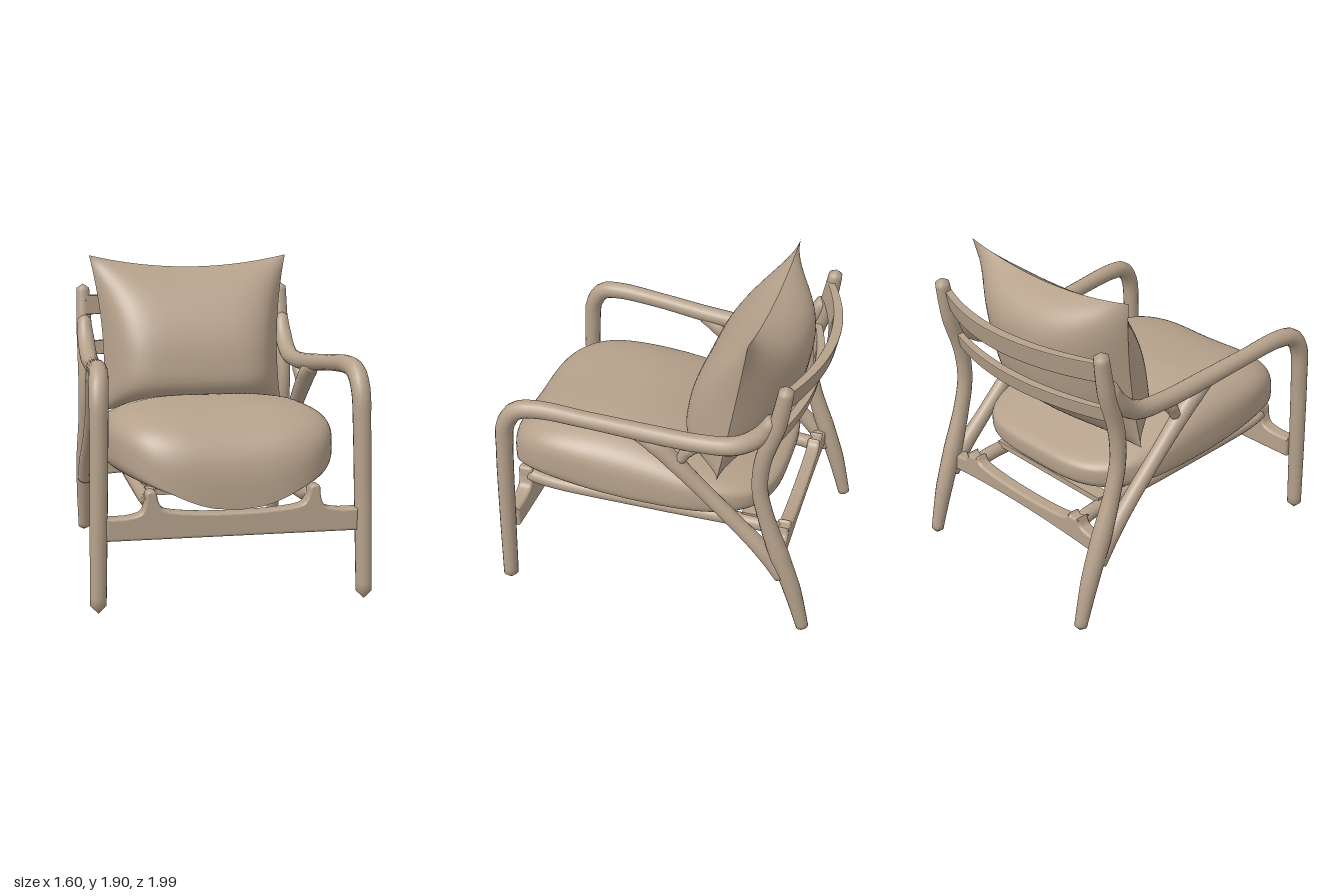
import * as THREE from 'three';
import { mergeVertices } from 'three/addons/utils/BufferGeometryUtils.js';

const material = new THREE.MeshStandardMaterial({ color: 0xb5a18b });
material.name = 'warm beige';

const { smoothstep, lerp } = THREE.MathUtils;

function add(parent, name, geometry) {
  const mesh = new THREE.Mesh(geometry, material);
  mesh.name = name;
  parent.add(mesh);
  return mesh;
}

// Drops uv and normals so that coincident vertices weld into one smooth skin
function weld(geometry) {
  geometry.deleteAttribute('uv');
  geometry.deleteAttribute('normal');
  const g = mergeVertices(geometry, 1e-4);
  g.computeVertexNormals();
  return g;
}

// Round bar through points [x, y, z, radius], closed at both ends
function bar(points, steps = 64, sides = 16) {
  const curve = new THREE.CatmullRomCurve3(points.map(([x, y, z]) => new THREE.Vector3(x, y, z)));
  const g = new THREE.TubeGeometry(curve, steps, 1, sides);
  const p = g.attributes.position;
  const v = new THREE.Vector3();
  for (let i = 0; i <= steps; i++) {
    const centre = curve.getPointAt(i / steps);
    const t = curve.getUtoTmapping(i / steps) * (points.length - 1);
    const k = Math.min(Math.floor(t), points.length - 2);
    const closed = i === 0 || i === steps;
    const r = closed ? 0 : lerp(points[k][3], points[k + 1][3], t - k);
    for (let j = 0; j <= sides; j++) {
      const n = i * (sides + 1) + j;
      v.fromBufferAttribute(p, n).sub(centre).multiplyScalar(r).add(centre);
      p.setXYZ(n, v.x, v.y, v.z);
    }
  }
  return weld(g);
}

// Skin over a grid of points fn(u, v), with u and v from 0 to 1
function skin(nu, nv, fn) {
  const pos = [], idx = [];
  for (let j = 0; j <= nv; j++) for (let i = 0; i <= nu; i++) pos.push(...fn(i / nu, j / nv));
  for (let j = 0; j < nv; j++) for (let i = 0; i < nu; i++) {
    const a = j * (nu + 1) + i, b = a + 1, c = a + nu + 1, d = c + 1;
    idx.push(a, b, d, a, d, c);
  }
  const g = new THREE.BufferGeometry();
  g.setAttribute('position', new THREE.Float32BufferAttribute(pos, 3));
  g.setIndex(idx);
  return weld(g);
}

// Seat cushion: rounded plan, with a seam that sags over the front edge
function seatCushion() {
  const power = (c, e) => Math.sign(c) * Math.abs(c) ** e;
  return skin(96, 48, (u, v) => {
    const a = u * Math.PI * 2;
    const ox = 0.655 * power(Math.cos(a), 2 / 3.5);
    const oz = 0.15 + 0.85 * power(Math.sin(a), 2 / 3.5);
    const r = Math.sin(v * Math.PI);
    const x = ox * r, z = 0.15 + (oz - 0.15) * r;
    const sag = 0.57 + 0.33 * (ox / 0.655) ** 2;
    const seam = lerp(0.79, sag, smoothstep(oz, 0.1, 0.9));
    const crown = 1.1 - 0.2 * (1 - smoothstep(z, -0.7, 0.3));
    const base = 0.63 + 0.02 * z;
    const swell = Math.max(0, 1 - r ** 3.3) ** (1 / 3.3);
    return [x, seam + ((v < 0.5 ? crown : base) - seam) * swell, z];
  });
}

// One face of the back pillow: side 1 is the front, -1 the rear
function pillowFace(side) {
  return skin(48, 40, (a, b) => {
    const u = Math.sin((a - 0.5) * Math.PI) * side;
    const v = Math.sin((b - 0.5) * Math.PI);
    const half = 0.615 + 0.03 * v - 0.04 * (1 - v * v);
    const y = 1.415 + 0.485 * v - 0.075 * (1 - u * u) * Math.max(v, 0) ** 3;
    const seam = -0.465 - 0.085 * v;
    const w = v > -0.3 ? ((v + 0.3) / 1.3) ** 2 : ((v + 0.3) / 0.7) ** 4;
    const depth = side > 0
      ? 0.31 * (1 - w) * (1 - u ** 6)
      : 0.29 * (1 - Math.abs(v) ** 3) * (1 - Math.abs(u) ** 2.5);
    return [half * u, y, seam + side * depth];
  });
}

// Curved back slat, bowed rearwards and leaning back
function backSlat(y, height, end, middle, thick) {
  const s = new THREE.Shape();
  const w = 0.655;
  s.moveTo(-w, end);
  s.quadraticCurveTo(0, 2 * middle - end, w, end);
  s.lineTo(w, end - thick * 0.8);
  s.quadraticCurveTo(0, 2 * (middle - thick) - (end - thick * 0.8), -w, end - thick * 0.8);
  const g = new THREE.ExtrudeGeometry(s, {
    depth: height - 0.016, curveSegments: 28, bevelThickness: 0.008, bevelSize: 0.006, bevelOffset: -0.006, bevelSegments: 2
  });
  g.rotateX(-Math.PI / 2).translate(0, y + 0.008, 0);
  const p = g.attributes.position;
  for (let i = 0; i < p.count; i++) p.setZ(i, p.getZ(i) + (y + height - p.getY(i)) * 0.2);
  g.computeVertexNormals();
  return g;
}

// Cross rail with raised horns where the seat rails join
function crossRail(width, bottom, arch, horn, depth) {
  const half = [[width, 0.53], [0.6, 0.53], [0.52, 0.55], [0.495, 0.6], [0.485, horn], [0.435, horn],
    [0.415, 0.6], [0.37, 0.56], [0.2, 0.54], [0, 0.535]];
  const top = [...half, ...half.slice(0, -1).reverse().map(([x, y]) => [-x, y])];
  const s = new THREE.Shape();
  s.moveTo(-width, bottom);
  s.quadraticCurveTo(0, bottom + 2 * arch, width, bottom);
  s.lineTo(...top[0]);
  s.splineThru(top.slice(1).map(([x, y]) => new THREE.Vector2(x, y)));
  return new THREE.ExtrudeGeometry(s, {
    depth: depth - 0.04, curveSegments: 40, bevelThickness: 0.02, bevelSize: 0.015, bevelOffset: -0.015, bevelSegments: 4
  }).translate(0, 0, -depth / 2 + 0.02);
}

export function createModel() {
  const chair = new THREE.Group();
  chair.name = 'armchair';

  // Bent side frames, mirrored
  for (const s of [1, -1]) {
    const frame = new THREE.Group();
    frame.name = s > 0 ? 'leftFrame' : 'rightFrame';
    chair.add(frame);
    const sided = (points) => bar(points.map(([x, y, z, r]) => [x * s, y, z, r]));

    add(frame, 'frontLegAndArm', sided([
      [0.755, 0, 0.895, 0.045], [0.745, 0.5, 0.88, 0.049], [0.735, 1.0, 0.86, 0.051], [0.732, 1.18, 0.84, 0.054],
      [0.725, 1.28, 0.77, 0.055], [0.715, 1.305, 0.65, 0.053], [0.7, 1.285, 0.35, 0.049], [0.675, 1.25, 0, 0.053],
      [0.663, 1.235, -0.3, 0.053], [0.662, 1.26, -0.5, 0.055], [0.665, 1.36, -0.64, 0.055], [0.668, 1.52, -0.73, 0.04]]));

    add(frame, 'backPostAndLeg', sided([
      [0.668, 1.71, -0.775, 0.022], [0.668, 1.68, -0.772, 0.042], [0.668, 1.45, -0.735, 0.05], [0.67, 1.2, -0.665, 0.048],
      [0.67, 1.0, -0.655, 0.046], [0.67, 0.8, -0.7, 0.048], [0.67, 0.55, -0.785, 0.058], [0.67, 0.3, -0.875, 0.052],
      [0.67, 0, -0.958, 0.036]]));

    add(frame, 'diagonalBrace', sided([
      [0.675, 1.24, 0.08, 0.035], [0.67, 1.18, -0.04, 0.055], [0.665, 1.08, -0.15, 0.052], [0.66, 0.93, -0.3, 0.046],
      [0.66, 0.7, -0.54, 0.046], [0.665, 0.54, -0.7, 0.052], [0.67, 0.38, -0.82, 0.05]]));

    add(frame, 'armFillet', sided([
      [0.665, 1.22, -0.34, 0.02], [0.665, 1.18, -0.24, 0.04], [0.665, 1.1, -0.19, 0.03]]));

    add(frame, 'seatRail', sided([
      [0.46, 0.62, 0.87, 0.04], [0.458, 0.6, 0.79, 0.045], [0.455, 0.58, 0.68, 0.043], [0.45, 0.565, 0, 0.043],
      [0.45, 0.56, -0.65, 0.043], [0.455, 0.54, -0.76, 0.045]]));
  }

  // Rails across the front and back
  add(chair, 'frontRail', crossRail(0.71, 0.4, 0, 0.665, 0.09)).position.z = 0.865;
  add(chair, 'backRail', crossRail(0.66, 0.42, 0.03, 0.59, 0.08)).position.z = -0.76;

  // Flat slats under the seat
  for (let i = 0; i < 7; i++) {
    add(chair, 'seatSlat', new THREE.BoxGeometry(0.9, 0.035, 0.09)).position.set(0, 0.605, -0.55 + i * 0.19);
  }

  // Curved slats of the back
  add(chair, 'upperBackSlat', backSlat(1.51, 0.125, 0.77, 0.925, 0.06));
  add(chair, 'lowerBackSlat', backSlat(1.25, 0.09, 0.71, 0.83, 0.055));

  // Cushions
  add(chair, 'seatCushion', seatCushion());
  const pillow = new THREE.Group();
  pillow.name = 'backPillow';
  chair.add(pillow);
  add(pillow, 'pillowFront', pillowFace(1));
  add(pillow, 'pillowRear', pillowFace(-1));

  return chair;
}
